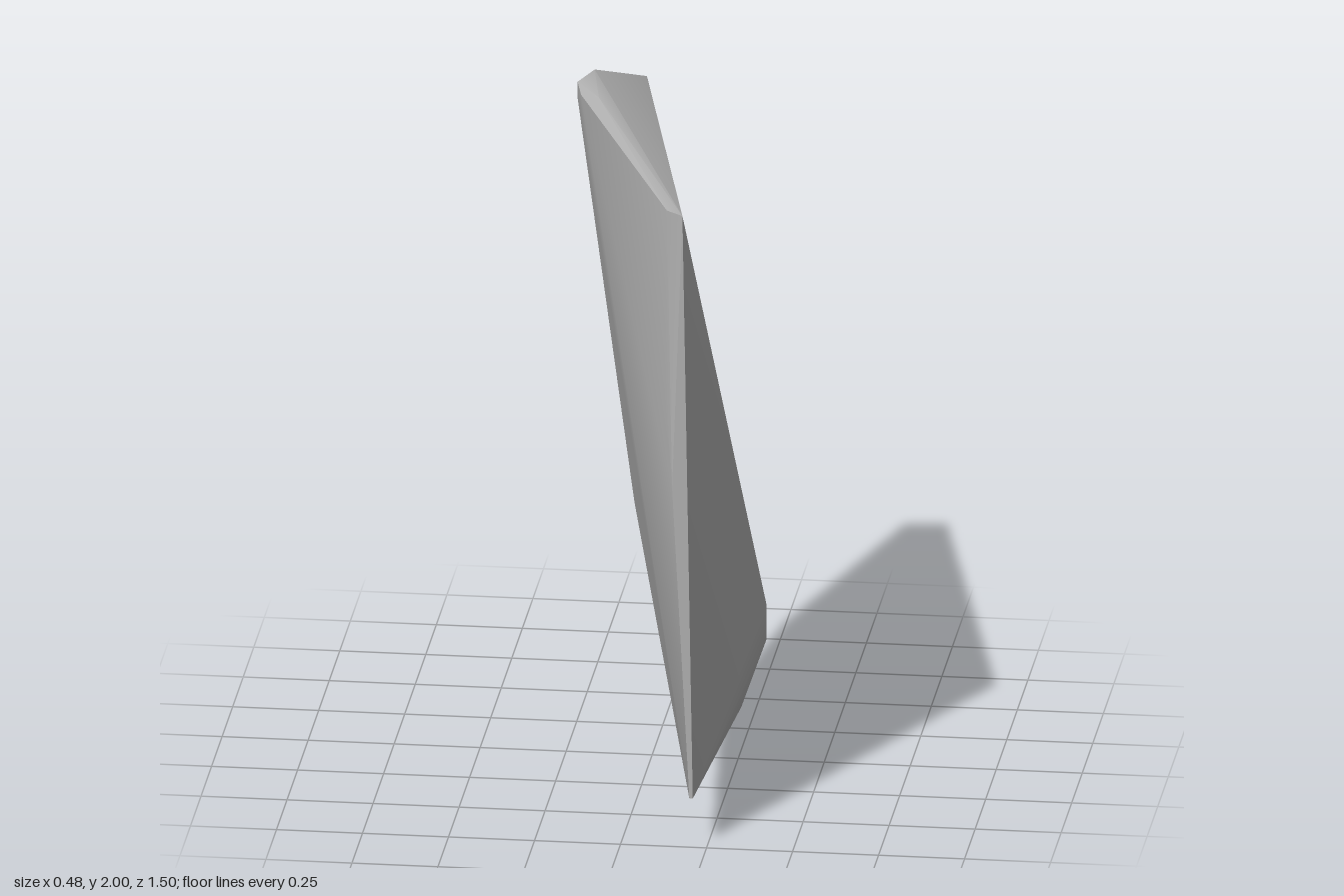
import * as THREE from 'three';
import { ConvexGeometry } from 'three/addons/geometries/ConvexGeometry.js';
import { toCreasedNormals } from 'three/addons/utils/BufferGeometryUtils.js';

// Corner points of the shard, grouped by region: [x, y, z]
const corners = {
  top: [[-0.2, 2, -0.27], [-0.16, 2, -0.04], [-0.24, 1.99, -0.19], [-0.24, 1.94, -0.19], [-0.22, 1.98, -0.11]],
  frontEdge: [[0.18, 1.94, 0.75], [0.13, 1.94, 0.71], [0.125, 1.4, 0.72], [0.15, 1.1, 0.75], [0.21, 0.15, 0.75], [0.2, 0.15, 0.75]],
  backUpper: [[-0.21, 1.86, -0.61], [-0.09, 1.86, -0.61], [0.01, 1.38, -0.61]],
  backLower: [[0.05, 0.52, -0.755], [0.24, 0.2, -0.75], [0.24, 0.09, -0.75]],
  sideBulge: [[-0.07, 0.72, -0.15], [-0.04, 0.52, -0.2], [-0.01, 0.4, -0.2]],
  base: [[0.16, 0.04, -0.35], [0.19, 0, -0.27], [0.2, 0, -0.52], [0.21, 0.01, -0.4]],
};

export function createModel() {
  const group = new THREE.Group();
  group.name = 'shard';

  const stone = new THREE.MeshStandardMaterial({ color: 0xb0b0b0 });
  stone.name = 'grey stone';

  // Thin convex slab with soft shallow folds and sharp rims
  const points = Object.values(corners).flat().map((p) => new THREE.Vector3(...p));
  const geometry = toCreasedNormals(new ConvexGeometry(points), THREE.MathUtils.degToRad(30));
  const slab = new THREE.Mesh(geometry, stone);
  slab.name = 'stoneSlab';
  group.add(slab);

  return group;
}
